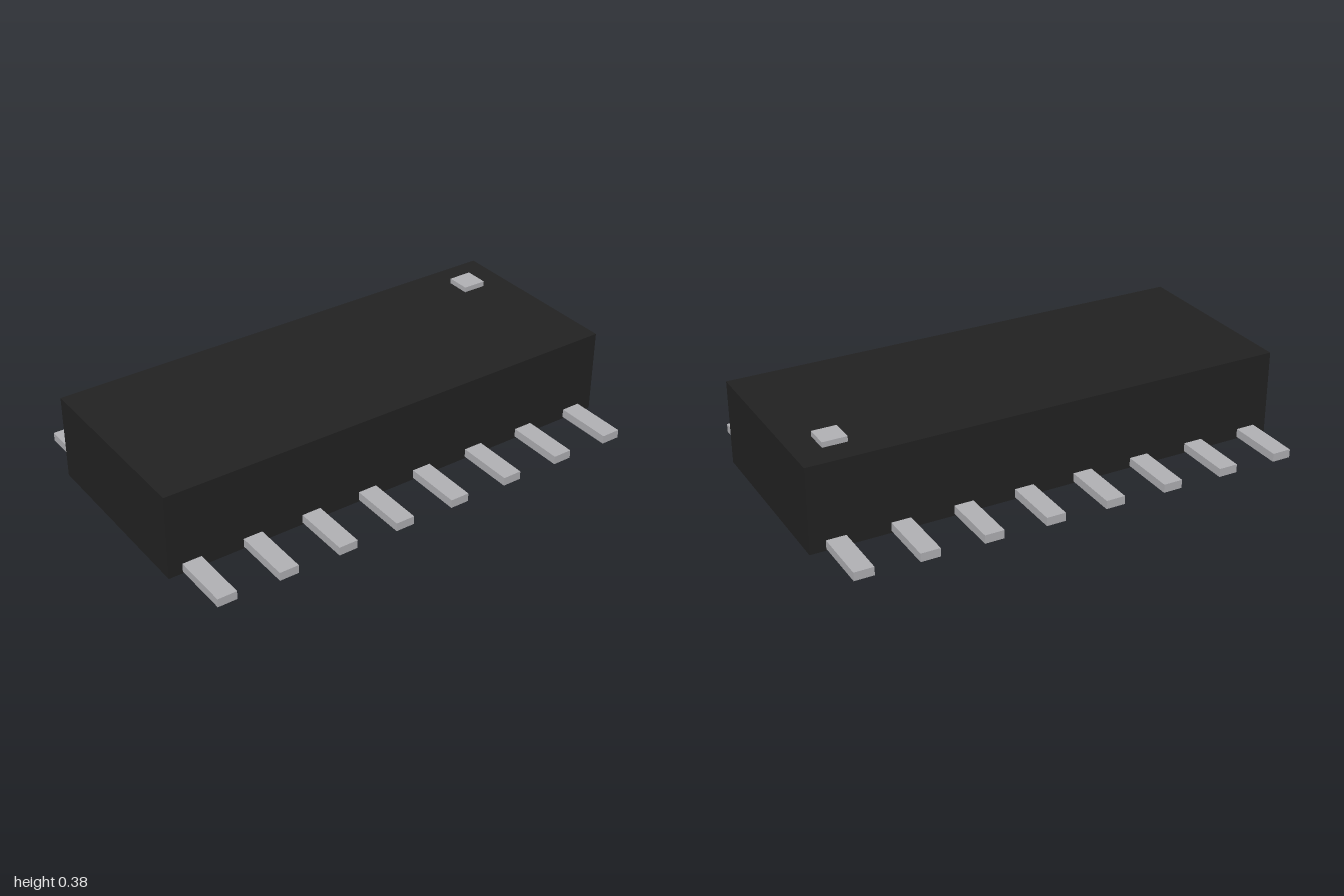
import * as THREE from 'three';

export function createModel() {
  const model = new THREE.Group();
  model.name = 'chipPackage';

  const plastic = new THREE.MeshStandardMaterial({ color: 0x222222 });
  plastic.name = 'black plastic';
  const metal = new THREE.MeshStandardMaterial({ color: 0xb2b2b6 });
  metal.name = 'grey metal';

  // Box from its size, base height and centre
  function addBox(name, material, [w, h, d], x, base, z) {
    const mesh = new THREE.Mesh(new THREE.BoxGeometry(w, h, d), material);
    mesh.name = name;
    mesh.position.set(x, base + h / 2, z);
    model.add(mesh);
  }

  const bodyHeight = 0.353;
  const bodyHalf = 0.394;
  const pinEnd = 0.636;

  // Package body
  addBox('body', plastic, [2, bodyHeight, bodyHalf * 2], 0, 0, 0);

  // Pin-one marker on the top
  addBox('pinOneMarker', metal, [0.1, 0.022, 0.1], 0.837, bodyHeight, -0.235);

  // Eight flat pins along the front and the back
  const pinLength = pinEnd - bodyHalf;
  for (const side of [1, -1]) {
    for (let i = 0; i < 8; i++) {
      addBox(side > 0 ? 'frontPin' : 'backPin', metal, [0.08, 0.035, pinLength],
        -0.902 + i * 0.2567, 0.008, side * (bodyHalf + pinLength / 2));
    }
  }

  return model;
}
